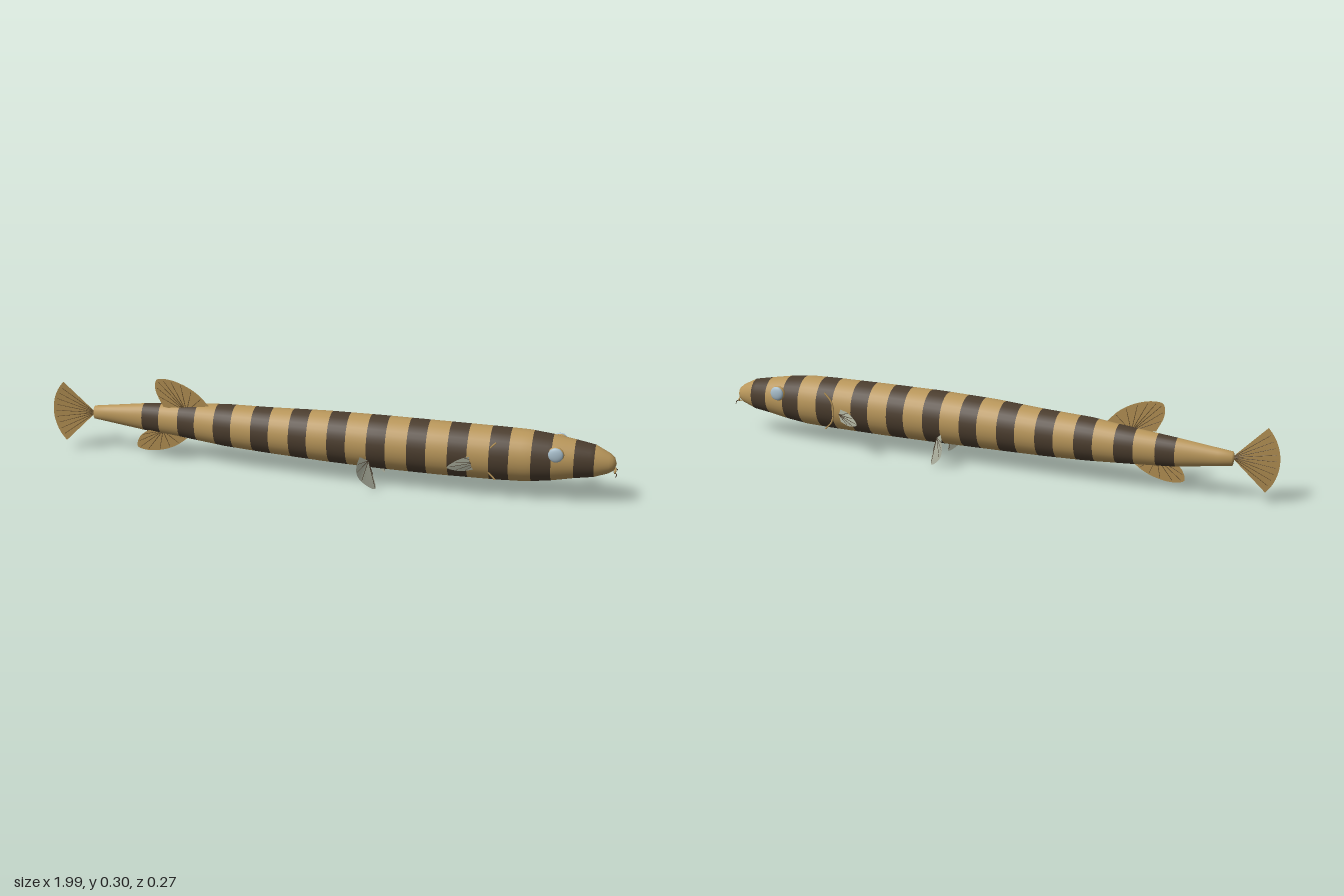
import * as THREE from 'three';
import { mergeGeometries } from 'three/addons/utils/BufferGeometryUtils.js';

const V = (x, y, z) => new THREE.Vector3(x, y, z);
const mat = (name, color, side = THREE.FrontSide) => {
  const m = new THREE.MeshStandardMaterial({ color, side });
  m.name = name;
  return m;
};

// Body stations from tail to snout: x, bottom y, top y, right z, left z
const STATIONS = [
  [-0.855, 0.147, 0.151, -0.02, -0.016], [-0.85, 0.125, 0.173, -0.038, 0], [-0.66, 0.098, 0.197, -0.06, 0.012],
  [-0.5, 0.086, 0.212, -0.073, 0.031], [-0.36, 0.075, 0.224, -0.078, 0.054], [-0.2, 0.068, 0.229, -0.077, 0.066],
  [0, 0.063, 0.239, -0.077, 0.084], [0.2, 0.059, 0.243, -0.074, 0.092], [0.4, 0.058, 0.243, -0.072, 0.093],
  [0.6, 0.06, 0.242, -0.071, 0.09], [0.7, 0.063, 0.24, -0.07, 0.085], [0.783, 0.074, 0.23, -0.065, 0.074],
  [0.853, 0.087, 0.218, -0.057, 0.06], [0.918, 0.096, 0.206, -0.046, 0.045], [0.965, 0.113, 0.182, -0.031, 0.03],
  [0.982, 0.124, 0.168, -0.019, 0.018], [0.989, 0.146, 0.148, -0.001, 0.001],
];

function station(x) {
  let i = 0;
  while (i < STATIONS.length - 2 && STATIONS[i + 1][0] < x) i++;
  const a = STATIONS[i], b = STATIONS[i + 1];
  const t = THREE.MathUtils.clamp((x - a[0]) / (b[0] - a[0]), 0, 1);
  return a.map((v, k) => v + (b[k] - v) * t);
}

// Lofted body; the material group changes at every band edge
function bodyGeometry() {
  const edges = [-0.85];
  for (let k = 11; k >= 0; k--) edges.push(0.853 - 0.138 * k, 0.918 - 0.138 * k);
  const xs = [-0.855], bands = [0];
  for (let e = 0; e < edges.length - 1; e++) {
    for (let s = 0; s < 4; s++) {
      xs.push(edges[e] + (edges[e + 1] - edges[e]) * s / 4);
      bands.push(e % 2);
    }
  }
  for (const x of [0.918, 0.942, 0.965, 0.975, 0.982, 0.986, 0.989]) { xs.push(x); bands.push(0); }

  const N = 32, pos = [], idx = [], geo = new THREE.BufferGeometry();
  for (const x of xs) {
    const [, y0, y1, z0, z1] = station(x);
    for (let j = 0; j < N; j++) {
      const t = j / N * Math.PI * 2;
      pos.push(x, (y0 + y1) / 2 + (y1 - y0) / 2 * Math.cos(t), (z0 + z1) / 2 + (z1 - z0) / 2 * Math.sin(t));
    }
  }
  for (let i = 0; i < xs.length - 1; i++) {
    geo.addGroup(idx.length, N * 6, bands[i]);
    for (let j = 0; j < N; j++) {
      const a = i * N + j, b = i * N + (j + 1) % N;
      idx.push(a, b, a + N, b, b + N, a + N);
    }
  }
  geo.setAttribute('position', new THREE.Float32BufferAttribute(pos, 3));
  geo.setIndex(idx);
  geo.computeVertexNormals();
  return geo;
}

// Thin rod between two points
function rod(a, b, r) {
  const d = b.clone().sub(a);
  const g = new THREE.CylinderGeometry(r * 0.6, r, d.length(), 5);
  g.applyQuaternion(new THREE.Quaternion().setFromUnitVectors(V(0, 1, 0), d.clone().normalize()));
  const m = a.clone().add(b).multiplyScalar(0.5);
  return g.translate(m.x, m.y, m.z);
}

// Fan-shaped fin: membrane from a root point to a smooth rim, with rays
function fin(name, root, rim, rays, membrane, rayMat, r = 0.0016) {
  const group = new THREE.Group();
  group.name = name;
  const curve = new THREE.CatmullRomCurve3(rim);
  const pts = curve.getPoints(24), pos = [];
  for (let i = 0; i < 24; i++) for (const p of [root, pts[i], pts[i + 1]]) pos.push(p.x, p.y, p.z);
  const g = new THREE.BufferGeometry();
  g.setAttribute('position', new THREE.Float32BufferAttribute(pos, 3));
  g.computeVertexNormals();
  const web = new THREE.Mesh(g, membrane);
  web.name = name + 'Membrane';
  const rods = [];
  for (let i = 1; i <= rays; i++) {
    const end = curve.getPoint(i / (rays + 1));
    rods.push(rod(root, root.clone().lerp(end, 0.93), r));
  }
  const ribs = new THREE.Mesh(mergeGeometries(rods), rayMat);
  ribs.name = name + 'Rays';
  group.add(web, ribs);
  return group;
}

export function createModel() {
  const tan = mat('sandSkin', 0xb8965a);
  const dark = mat('darkBand', 0x4b3d2e);
  const finTan = mat('sandFin', 0xad8b50, THREE.DoubleSide);
  const finGrey = mat('paleFin', 0xb0b4a2, THREE.DoubleSide);
  const ray = mat('finRay', 0x6b5330);
  const eyeMat = mat('eyeBlue', 0xa9bfcc);
  const model = new THREE.Group();
  model.name = 'bandedFish';
  const add = (name, geo, material) => {
    const m = new THREE.Mesh(geo, material);
    m.name = name;
    model.add(m);
    return m;
  };

  add('body', bodyGeometry(), [tan, dark]);

  // Fins on the midline
  const flat = (list) => list.map(([x, y]) => V(x, y, 0));
  model.add(fin('dorsalFin', V(-0.5, 0.19, 0),
    flat([[-0.41, 0.21], [-0.46, 0.26], [-0.52, 0.292], [-0.575, 0.304], [-0.607, 0.298], [-0.612, 0.26], [-0.585, 0.2]]),
    8, finTan, ray));
  model.add(fin('analFin', V(-0.59, 0.11, 0),
    flat([[-0.5, 0.09], [-0.54, 0.06], [-0.59, 0.039], [-0.65, 0.031], [-0.687, 0.042], [-0.677, 0.08], [-0.645, 0.107]]),
    7, finTan, ray));
  const tailRim = [];
  for (let i = 0; i <= 8; i++) {
    const a = (i / 8 - 0.5) * 1.52;
    tailRim.push(V(-0.842 - 0.158 * Math.cos(a), 0.15 + 0.161 * Math.sin(a), 0.002));
  }
  model.add(fin('tailFin', V(-0.845, 0.15, -0.012), tailRim, 9, finTan, ray));

  for (const [side, s] of [['left', 1], ['right', -1]]) {
    // Paired fins
    model.add(fin(side + 'PectoralFin', V(0.55, 0.138, 0.07 * s),
      [V(0.54, 0.16, 0.076 * s), V(0.495, 0.158, 0.102 * s), V(0.465, 0.147, 0.122 * s), V(0.447, 0.133, 0.135 * s),
        V(0.47, 0.119, 0.12 * s), V(0.5, 0.112, 0.1 * s), V(0.54, 0.114, 0.076 * s)],
      5, finGrey, dark, 0.0014));
    model.add(fin(side + 'PelvicFin', V(0.17, 0.105, 0.078 * s),
      [V(0.145, 0.125, 0.1 * s), V(0.138, 0.1, 0.11 * s), V(0.137, 0.07, 0.112 * s), V(0.152, 0.035, 0.1 * s),
        V(0.195, 0.002, 0.075 * s), V(0.187, 0.05, 0.075 * s), V(0.174, 0.09, 0.075 * s)],
      5, finGrey, dark, 0.0014));

    // Eye on a fleshy socket
    const socket = add(side + 'EyeSocket', new THREE.SphereGeometry(0.027, 20, 14), tan);
    socket.scale.set(1, 1, 0.5);
    socket.position.set(0.795, 0.184, 0.06 * s);
    const eye = add(side + 'Eye', new THREE.SphereGeometry(0.025, 20, 14), eyeMat);
    eye.scale.set(1, 1, 0.36);
    eye.position.set(0.795, 0.186, 0.071 * s);

    // Gill edge
    const gill = new THREE.CatmullRomCurve3([V(0.6, 0.214, 0.078 * s), V(0.575, 0.185, 0.078 * s),
      V(0.567, 0.148, 0.078 * s), V(0.575, 0.11, 0.078 * s), V(0.6, 0.082, 0.078 * s)]);
    add(side + 'GillEdge', new THREE.TubeGeometry(gill, 16, 0.003, 6), tan);

    // Barbel
    const barbel = new THREE.CatmullRomCurve3([V(0.982, 0.124, 0.014 * s), V(0.992, 0.119, 0.022 * s), V(0.99, 0.112, 0.032 * s)]);
    add(side + 'Barbel', new THREE.TubeGeometry(barbel, 8, 0.0015, 5), dark);
  }

  // Mouth ring
  const mouth = add('mouth', new THREE.TorusGeometry(0.017, 0.0028, 8, 24), tan);
  mouth.rotation.y = Math.PI / 2;
  mouth.scale.set(1, 0.45, 1);
  mouth.position.set(0.986, 0.123, 0);
  return model;
}
